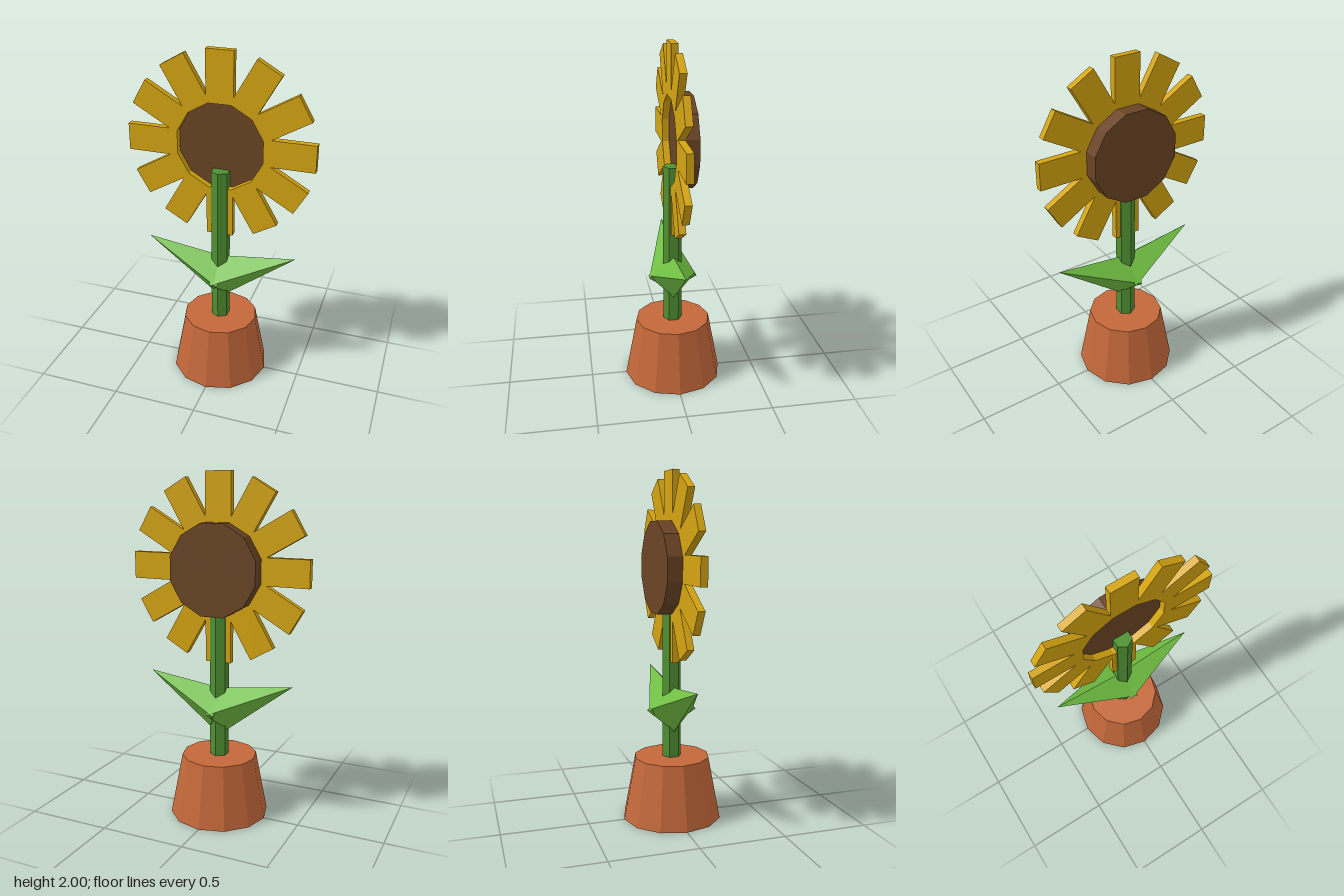
import * as THREE from 'three';
import { ConvexGeometry } from 'three/addons/geometries/ConvexGeometry.js';

function material(name, color) {
  const m = new THREE.MeshStandardMaterial({ color, flatShading: true });
  m.name = name;
  return m;
}

export function createModel() {
  const terracotta = material('terracotta', 0xc4683a);
  const stemGreen = material('stem green', 0x4f9032);
  const leafGreen = material('leaf green', 0x6fbd42);
  const petalYellow = material('petal yellow', 0xd4a411);
  const seedBrown = material('seed brown', 0x6a4424);

  const model = new THREE.Group();
  model.name = 'pottedFlower';
  const add = (parent, name, geometry, mat) => {
    const mesh = new THREE.Mesh(geometry, mat);
    mesh.name = name;
    parent.add(mesh);
    return mesh;
  };

  // Pot, wider at the foot
  add(model, 'pot', new THREE.CylinderGeometry(0.22, 0.29, 0.365, 12), terracotta)
    .position.y = 0.1825;

  // Six-sided stem, rooted inside the pot
  add(model, 'stem', new THREE.CylinderGeometry(0.055, 0.055, 1.02, 6), stemGreen)
    .position.y = 0.81;

  // Two four-sided pointed leaves crossing at the stem
  for (const [name, s] of [['leftLeaf', 1], ['rightLeaf', -1]]) {
    const points = [
      [0.45, 0.83, 0],
      [0.05, 0.52, 0],
      [-0.09, 0.76, 0],
      [-0.02, 0.64, 0.142],
      [-0.02, 0.64, -0.142],
    ].map(([x, y, z]) => new THREE.Vector3(s * x, y, z));
    add(model, name, new ConvexGeometry(points), leafGreen);
  }

  // Flower head: a ring of petals with the seed disc set behind it
  const head = new THREE.Group();
  head.name = 'flowerHead';
  head.position.y = 1.465;
  model.add(head);

  const inner = 0.245, outer = 0.535;
  const petal = new THREE.BoxGeometry(0.155, outer - inner, 0.04);
  petal.translate(0, (inner + outer) / 2, 0);
  for (let i = 0; i < 12; i++) {
    add(head, `petal${i + 1}`, petal, petalYellow).rotation.z = (i * Math.PI) / 6;
  }

  const disc = new THREE.CylinderGeometry(0.267, 0.267, 0.085, 12);
  disc.rotateY(Math.PI / 12);
  disc.rotateX(Math.PI / 2);
  add(head, 'seedDisc', disc, seedBrown).position.z = -0.0625;

  return model;
}
